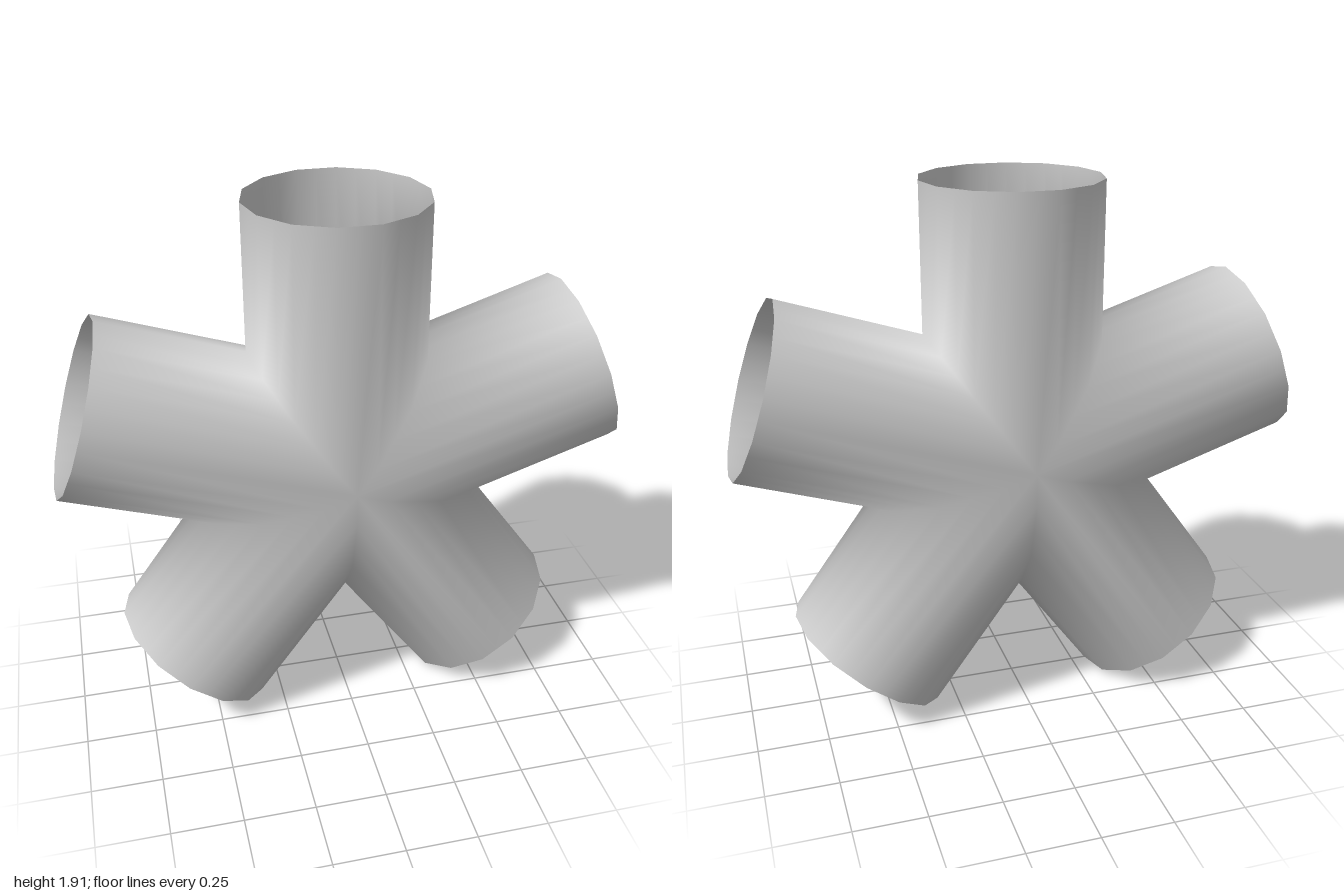
import * as THREE from 'three';

const R = 0.316;          // pipe radius
const LENGTH = 0.951;     // hub centre to open pipe end
const HUB_Y = 0.956;      // height of the hub centre
const SIDES = 14;
const HALF = Math.PI / 5; // half the angle between neighbouring pipes

// One open pipe along +y, mitred at the hub against both neighbours
function pipeGeometry() {
  const n = SIDES * 2;    // polygon corners plus the middle of each side
  const positions = [], normals = [], index = [];
  const s = Math.sin(HALF), c = Math.cos(HALF);
  for (let i = 0; i < n; i++) {
    const a = (i / n) * Math.PI * 2;
    const nx = Math.cos(a), nz = Math.sin(a);
    const r = i % 2 ? R * Math.cos(Math.PI / SIDES) : R;
    const x = r * nx, z = r * nz;

    // mitred hub end, with its normal blended into the neighbouring pipe
    positions.push(x, Math.abs(x) / Math.tan(HALF), z);
    const blend = new THREE.Vector3(nx * s * s, Math.abs(nx) * s * c, nz).normalize();
    normals.push(blend.x, blend.y, blend.z);

    // open outer end
    positions.push(x, LENGTH, z);
    normals.push(nx, 0, nz);

    const a0 = i * 2, a1 = ((i + 1) % n) * 2;
    index.push(a0, a0 + 1, a1, a0 + 1, a1 + 1, a1);
  }
  const geometry = new THREE.BufferGeometry();
  geometry.setAttribute('position', new THREE.Float32BufferAttribute(positions, 3));
  geometry.setAttribute('normal', new THREE.Float32BufferAttribute(normals, 3));
  geometry.setIndex(index);
  return geometry;
}

export function createModel() {
  const group = new THREE.Group();
  group.name = 'fiveWayPipeJunction';
  const material = new THREE.MeshStandardMaterial({ color: 0xcccccc, side: THREE.DoubleSide });
  const geometry = pipeGeometry();

  // Five hollow pipes spaced evenly around the hub
  const names = ['topPipe', 'upperRightPipe', 'lowerRightPipe', 'lowerLeftPipe', 'upperLeftPipe'];
  names.forEach((name, k) => {
    const pipe = new THREE.Mesh(geometry, material);
    pipe.name = name;
    pipe.position.y = HUB_Y;
    pipe.rotation.z = k * HALF * 2;
    group.add(pipe);
  });
  return group;
}
